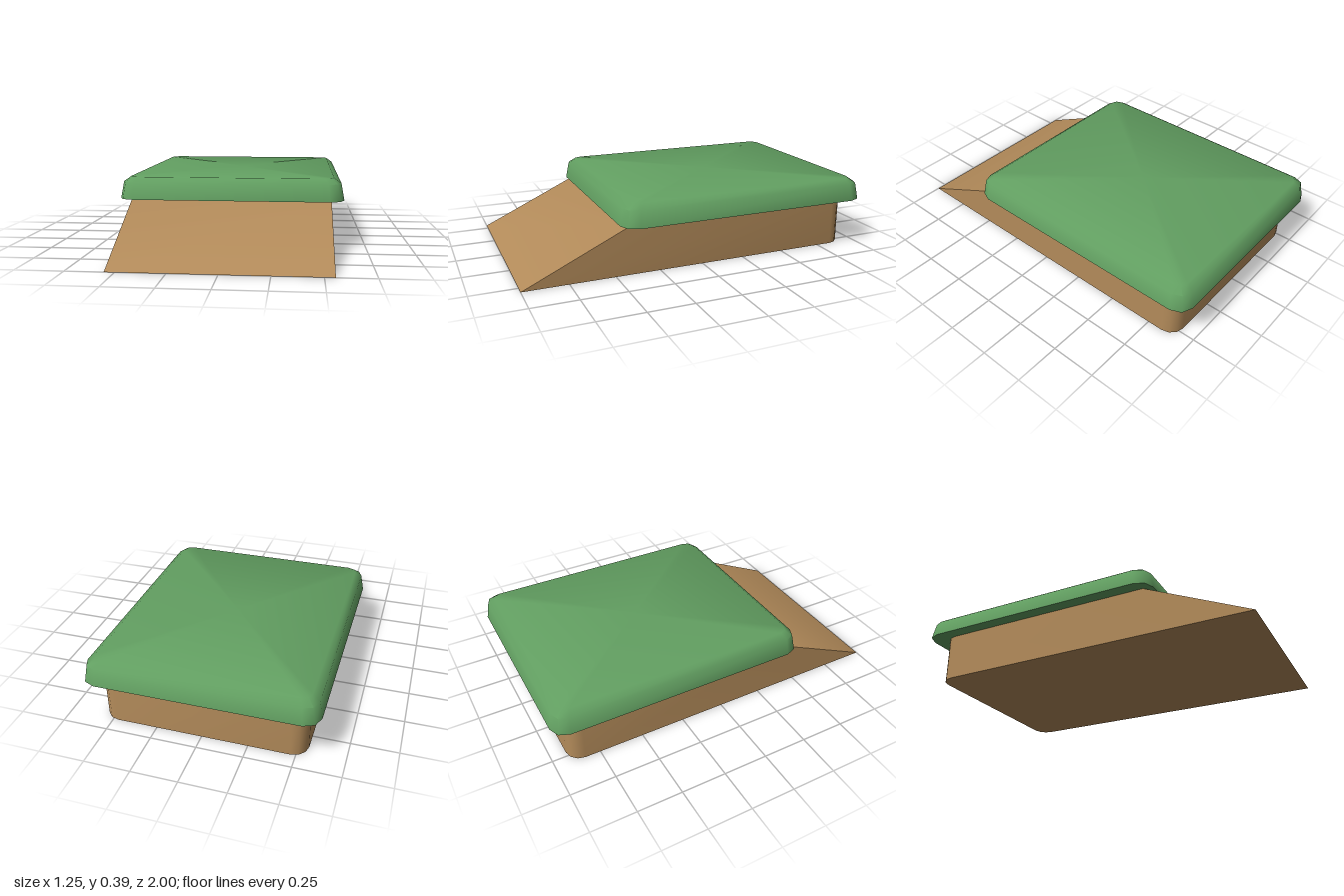
import * as THREE from 'three';
import { toCreasedNormals } from 'three/addons/utils/BufferGeometryUtils.js';

// Rectangle outline, counterclockwise from above, with rounded back and front corners
function outline(y, halfX, back, front, backRadius, frontRadius, segments = 2) {
  const corners = [
    [halfX, back, 1, -1, backRadius],
    [-halfX, back, -1, -1, backRadius],
    [-halfX, front, -1, 1, frontRadius],
    [halfX, front, 1, 1, frontRadius],
  ];
  const points = [];
  corners.forEach(([x, z, sx, sz, r], k) => {
    const steps = r > 0 ? segments : 0;
    for (let i = 0; i <= steps; i++) {
      const a = (k + (steps ? i / steps : 0)) * Math.PI / 2;
      const cx = x - sx * r, cz = z - sz * r;
      points.push(r > 0
        ? new THREE.Vector3(cx + r * Math.cos(a), y, cz - r * Math.sin(a))
        : new THREE.Vector3(x, y, z));
    }
  });
  return points;
}

// Closed solid through a stack of outlines, capped at both ends
function loft(rings, crease) {
  const positions = [];
  const tri = (...pts) => pts.forEach((p) => positions.push(p.x, p.y, p.z));
  const centre = (ring) => ring.reduce((s, p) => s.add(p), new THREE.Vector3()).divideScalar(ring.length);
  const n = rings[0].length;
  const bottom = rings[0], top = rings[rings.length - 1];
  const bottomCentre = centre(bottom), topCentre = centre(top);
  for (let i = 0; i < n; i++) {
    const j = (i + 1) % n;
    for (let k = 0; k < rings.length - 1; k++) {
      const lo = rings[k], hi = rings[k + 1];
      tri(lo[i], lo[j], hi[j]);
      tri(lo[i], hi[j], hi[i]);
    }
    tri(bottomCentre, bottom[j], bottom[i]);
    tri(topCentre, top[i], top[j]);
  }
  const geometry = new THREE.BufferGeometry();
  geometry.setAttribute('position', new THREE.Float32BufferAttribute(positions, 3));
  return toCreasedNormals(geometry, crease);
}

export function createModel() {
  const group = new THREE.Group();
  group.name = 'rampPlatform';
  const earth = new THREE.MeshStandardMaterial({ color: 0xb38b5a });
  earth.name = 'earth brown';
  const grass = new THREE.MeshStandardMaterial({ color: 0x629f61 });
  grass.name = 'grass green';

  // Earth base: sloping ramp in front, rounded corners at the back
  const base = new THREE.Mesh(loft([
    outline(0, 0.553, -0.915, 1, 0.08, 0, 3),
    outline(0.272, 0.553, -0.915, 0.415, 0.08, 0, 3),
  ], 0.8), earth);
  base.name = 'rampBase';

  // Grass slab: overhanging, with a tapered side and a bevelled rim
  const layers = [[0.272, 0], [0.365, 0.017], [0.393, 0.056]];
  const slab = new THREE.Mesh(loft(layers.map(([y, inset]) =>
    outline(y, 0.623 - inset, -1 + inset, 0.47 - inset, 0.082 - inset * 0.6, 0.082 - inset * 0.6)
  ), 0.95), grass);
  slab.name = 'grassTop';

  group.add(base, slab);
  return group;
}
